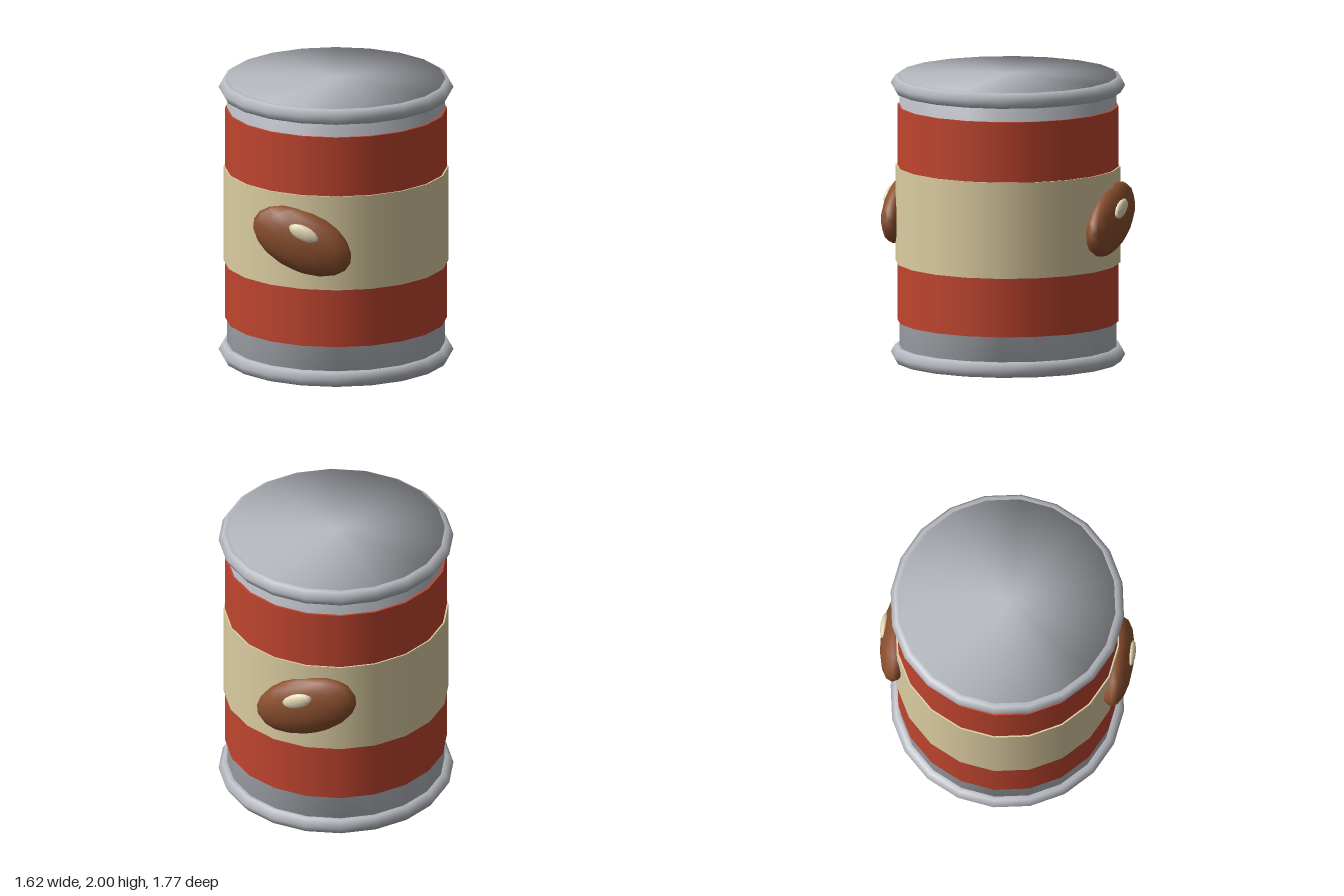
import * as THREE from 'three';

const SIDES = 20;

function material(name, color) {
  const m = new THREE.MeshStandardMaterial({ color });
  m.name = name;
  return m;
}

export function createModel() {
  const metal = material('metal', 0xb8bbc2);
  const red = material('red', 0xc0452f);
  const cream = material('cream', 0xdccda2);
  const brown = material('brown', 0x8b4f2e);
  const shine = material('pale shine', 0xe6dab6);

  const model = new THREE.Group();
  model.name = 'can';

  function add(name, geometry, mat, parent = model) {
    const mesh = new THREE.Mesh(geometry, mat);
    mesh.name = name;
    parent.add(mesh);
    return mesh;
  }

  // Can body: one smooth lathe, with normals rounded over both lids
  const profile = [[0, 0.05], [0.75, 0.05], [0.75, 2], [0, 2]];
  add('body', new THREE.LatheGeometry(profile.map(([x, y]) => new THREE.Vector2(x, y)), SIDES), metal);

  // Six-sided rolled rims
  for (const [name, y] of [['bottomRim', 0.052], ['topRim', 1.93]]) {
    const rim = add(name, new THREE.TorusGeometry(0.75, 0.06, 6, SIDES), metal);
    rim.rotation.x = -Math.PI / 2;
    rim.position.y = y;
  }

  // Wrapped label and its pale middle band
  function band(name, radius, y0, y1, mat) {
    const mesh = add(name, new THREE.CylinderGeometry(radius, radius, y1 - y0, SIDES), mat);
    mesh.position.y = (y0 + y1) / 2;
  }
  band('label', 0.765, 0.28, 1.78, red);
  band('labelBand', 0.776, 0.69, 1.36, cream);

  // Tilted bean with a shine spot, on the front and mirrored on the back
  function ellipsoid(name, mat, parent, segments, size, position) {
    const mesh = add(name, new THREE.SphereGeometry(1, ...segments), mat, parent);
    mesh.scale.set(...size);
    mesh.position.set(...position);
    mesh.rotation.z = -0.36;
  }
  for (const [side, dir] of [['front', 1], ['back', -1]]) {
    const bean = new THREE.Group();
    bean.name = side + 'Bean';
    ellipsoid(side + 'BeanBody', brown, bean, [16, 10], [0.372, 0.217, 0.117], [0, 1.03, dir * 0.76]);
    ellipsoid(side + 'BeanShine', shine, bean, [10, 8], [0.112, 0.055, 0.03], [0.04, 1.112, dir * 0.857]);
    model.add(bean);
  }

  return model;
}
